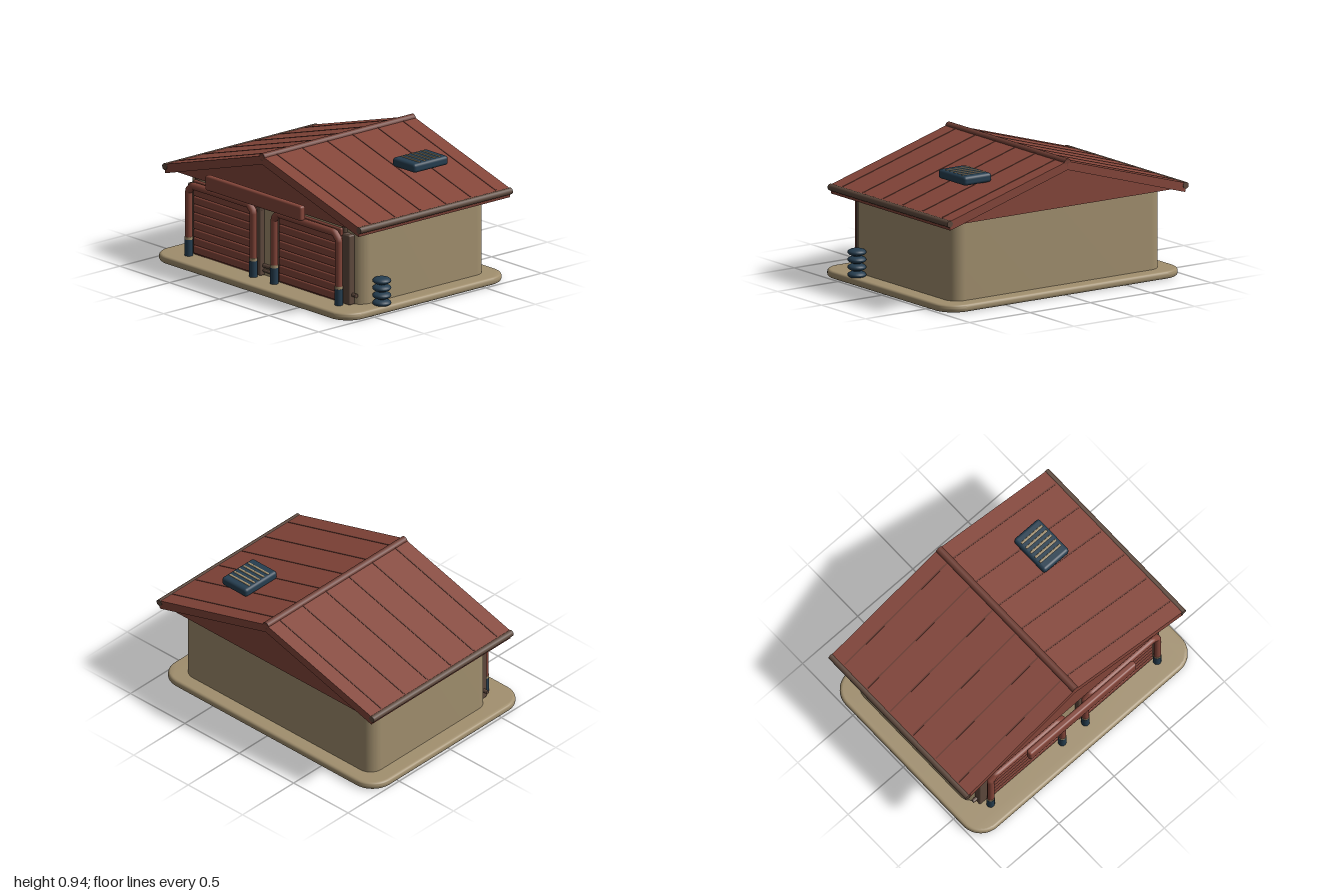
import * as THREE from 'three';
import { toCreasedNormals } from 'three/addons/utils/BufferGeometryUtils.js';
import { RoundedBoxGeometry } from 'three/addons/geometries/RoundedBoxGeometry.js';

function material(name, color) {
  const m = new THREE.MeshStandardMaterial({ color });
  m.name = name;
  return m;
}

// Rounded rectangle in plan, extruded upwards from y0 to y1
function roundedSlab(hx, z0, z1, r, y0, y1, bevel = 0) {
  const x = hx - bevel, a = -z1 + bevel, b = -z0 - bevel;
  const s = new THREE.Shape();
  s.moveTo(-x + r, a);
  s.lineTo(x - r, a);
  s.absarc(x - r, a + r, r, -Math.PI / 2, 0);
  s.lineTo(x, b - r);
  s.absarc(x - r, b - r, r, 0, Math.PI / 2);
  s.lineTo(-x + r, b);
  s.absarc(-x + r, b - r, r, Math.PI / 2, Math.PI);
  s.lineTo(-x, a + r);
  s.absarc(-x + r, a + r, r, Math.PI, Math.PI * 1.5);
  const g = new THREE.ExtrudeGeometry(s, {
    depth: y1 - y0 - 2 * bevel, curveSegments: 10,
    bevelEnabled: bevel > 0, bevelSize: bevel, bevelThickness: bevel, bevelSegments: 4,
  });
  g.rotateX(-Math.PI / 2).translate(0, y0 + bevel, 0);
  return toCreasedNormals(g, 0.6);
}

// Front-view outline extruded along z
function profile(points, z0, z1) {
  const s = new THREE.Shape(points.map(([x, y]) => new THREE.Vector2(x, y)));
  return new THREE.ExtrudeGeometry(s, { depth: z1 - z0, bevelEnabled: false }).translate(0, 0, z0);
}

export function createModel() {
  const red = material('barn red', 0x85463a);
  const brown = material('dark brown', 0x5e493d);
  const ridgeRed = material('ridge red brown', 0x6e3e34);
  const tan = material('sandstone', 0xa18f6e);
  const navy = material('navy', 0x263e50);

  const model = new THREE.Group();
  model.name = 'garage';
  function add(name, geo, mat, x = 0, y = 0, z = 0, parent = model) {
    const m = new THREE.Mesh(geo, mat);
    m.name = name;
    m.position.set(x, y, z);
    parent.add(m);
    return m;
  }
  const rounded = (w, h, d, r) => new RoundedBoxGeometry(w, h, d, 3, r);
  const rod = (r, len, sides = 16) => new THREE.CylinderGeometry(r, r, len, sides);

  // Ground slab and walls
  add('baseSlab', roundedSlab(0.99, -0.74, 0.745, 0.14, 0, 0.052, 0.02), tan);
  add('walls', roundedSlab(0.87, -0.635, 0.52, 0.1, 0.05, 0.612), tan);

  // Roof
  const zBack = -0.742, zFront = 0.617, zMid = (zBack + zFront) / 2, zLen = zFront - zBack;
  add('roofPanels', profile([
    [0, 0.925], [-0.985, 0.64], [-0.972, 0.58], [0, 0.865], [0.972, 0.58], [0.985, 0.64],
  ], zBack, zFront), red);
  add('gable', profile([[-0.87, 0.61], [0.87, 0.61], [0, 0.868]], zBack + 0.012, zFront - 0.012), red);
  add('ridgeCap', rod(0.027, zLen).rotateX(Math.PI / 2), ridgeRed, 0, 0.915, zMid);
  const pitch = Math.atan2(0.285, 0.985);
  for (const side of [1, -1]) {
    add('gutter', rod(0.023, zLen + 0.006).rotateX(Math.PI / 2), brown, side * 0.977, 0.625, zMid);
    for (let i = 0; i < 6; i++) {
      const seam = add('roofSeam', new THREE.BoxGeometry(0.98, 0.012, 0.01), ridgeRed,
        side * 0.485, 0.925 - 0.485 * 0.2893 - 0.003, -0.63 + i * 0.2265);
      seam.rotation.z = -side * pitch;
    }
  }

  // Roof vent with slats
  add('roofVent', rounded(0.23, 0.064, 0.31, 0.022), navy, 0.545, 0.822, -0.32);
  for (let i = 0; i < 5; i++)
    add('ventSlat', rounded(0.19, 0.012, 0.018, 0.005), tan, 0.545, 0.852, -0.415 + i * 0.0455);

  // Blank board above the doors
  add('signBoard', rounded(0.965, 0.105, 0.048, 0.016), red, 0, 0.643, 0.677);

  // Two door bays
  for (const side of [1, -1]) {
    const bay = new THREE.Group();
    bay.name = side > 0 ? 'leftDoorBay' : 'rightDoorBay';
    model.add(bay);
    const cx = side * 0.43;

    // Door frame
    add('outerJamb', rounded(0.075, 0.49, 0.055, 0.012), brown, side * 0.777, 0.295, 0.532, bay);
    add('innerJamb', rounded(0.05, 0.49, 0.055, 0.012), brown, side * 0.107, 0.295, 0.532, bay);
    add('lintel', rounded(0.7, 0.04, 0.045, 0.01), brown, cx, 0.525, 0.532, bay);
    add('framePost', rod(0.02, 0.555), brown, side * 0.738, 0.3275, 0.53, bay);

    // Roller door
    add('doorBacking', new THREE.BoxGeometry(0.64, 0.49, 0.03), red, cx, 0.297, 0.54, bay);
    for (let i = 0; i < 9; i++)
      add('doorSlat', rounded(0.63, 0.055, 0.026, 0.01), red, cx, 0.09 + i * 0.0575, 0.56, bay);

    // Guard hoop with bent upper corners
    const path = new THREE.CurvePath();
    const pts = [[-0.325, 0.05], [-0.325, 0.508], [-0.283, 0.549], [0.283, 0.549], [0.325, 0.508], [0.325, 0.05]]
      .map(([x, y]) => new THREE.Vector3(x, y, 0));
    for (let i = 1; i < pts.length; i++) path.add(new THREE.LineCurve3(pts[i - 1], pts[i]));
    add('guardHoop', new THREE.TubeGeometry(path, 90, 0.026, 12), red, cx, 0, 0.6, bay);
    for (const s of [-0.325, 0.325]) {
      add('hoopSleeve', rod(0.0285, 0.115), navy, cx + s, 0.1075, 0.6, bay);
      add('sleeveCollar', rod(0.0275, 0.02), tan, cx + s, 0.174, 0.6, bay);
    }

    // Low rails behind the door
    add('upperRail', rod(0.014, 0.84, 12).rotateZ(Math.PI / 2), brown, cx, 0.12, 0.526, bay);
    add('lowerRail', rod(0.011, 0.42, 12).rotateZ(Math.PI / 2), brown, side * 0.22, 0.085, 0.526, bay);
  }

  // Stack of flattened rings beside the wall
  for (let i = 0; i < 4; i++)
    add('stackDisc', new THREE.SphereGeometry(1, 24, 12).scale(0.064, 0.026, 0.064), navy,
      0.935, 0.064 + i * 0.0515, 0.375);
  add('stackCore', rod(0.024, 0.155), navy, 0.935, 0.14, 0.375);

  return model;
}
